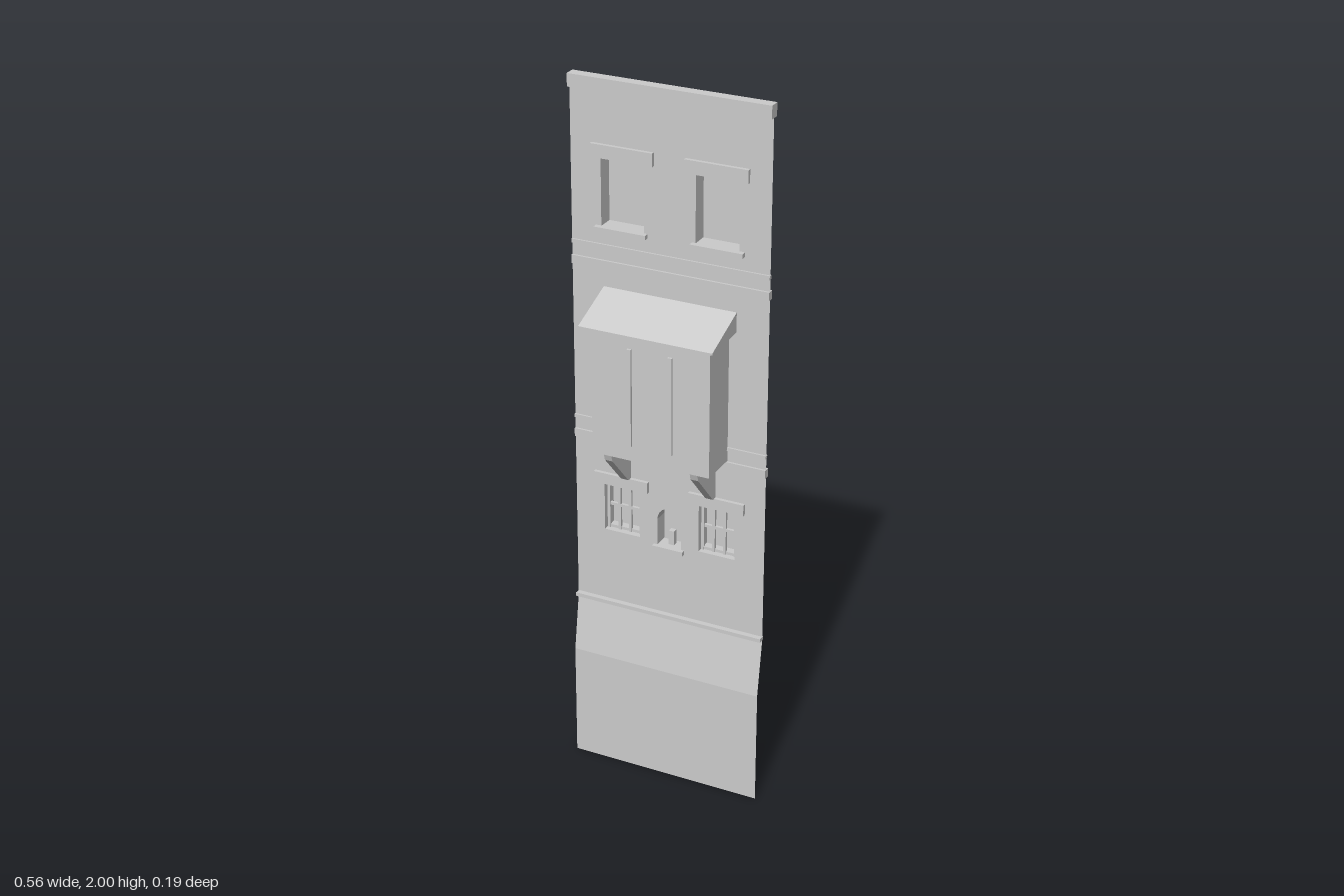
import * as THREE from 'three';

const WALL_Z = -0.046;
const HALF_W = 0.278;

export function createModel() {
  const group = new THREE.Group();
  const solid = new THREE.MeshStandardMaterial({ color: 0xcccccc, flatShading: true });
  const thin = new THREE.MeshStandardMaterial({ color: 0xcccccc, flatShading: true, side: THREE.DoubleSide });

  const add = (name, geometry, material = solid) => {
    const mesh = new THREE.Mesh(geometry, material);
    mesh.name = name;
    group.add(mesh);
    return mesh;
  };

  // Box given by its limits on each axis
  const block = (name, x0, x1, y0, y1, z0, z1) =>
    add(name, new THREE.BoxGeometry(x1 - x0, y1 - y0, z1 - z0))
      .position.set((x0 + x1) / 2, (y0 + y1) / 2, (z0 + z1) / 2);

  const rect = (x0, x1, y0, y1) => [[x0, y0], [x1, y0], [x1, y1], [x0, y1]].map(p => new THREE.Vector2(...p));

  // Open shell: side walls from the wall plane to depth z, closed by a cap there
  const shell = (name, outline, z) => {
    const pos = [];
    outline.forEach((a, i) => {
      const b = outline[(i + 1) % outline.length];
      pos.push(a.x, a.y, WALL_Z, b.x, b.y, WALL_Z, b.x, b.y, z);
      pos.push(a.x, a.y, WALL_Z, b.x, b.y, z, a.x, a.y, z);
    });
    const sides = new THREE.BufferGeometry();
    sides.setAttribute('position', new THREE.Float32BufferAttribute(pos, 3));
    sides.computeVertexNormals();
    add(name + 'Sides', sides, thin);
    add(name + 'Panel', new THREE.ShapeGeometry(new THREE.Shape(outline)), thin).position.z = z;
  };

  // Prism across x from a (z, y) profile
  const prism = (name, profile, x0, x1) => {
    const shape = new THREE.Shape(profile.map(([z, y]) => new THREE.Vector2(-z, y)));
    const geo = new THREE.ExtrudeGeometry(shape, { depth: x1 - x0, bevelEnabled: false });
    add(name, geo.rotateY(Math.PI / 2).translate(x0, 0, 0));
  };

  // Opening outlines
  const openings = [];
  const recess = (name, outline, z) => {
    openings.push(outline);
    shell(name, outline, z);
  };

  // Upper and lower windows, mirrored
  for (const s of [-1, 1]) {
    const span = (a, b) => (s > 0 ? [a, b] : [-b, -a]);

    recess('upperWindow', rect(...span(0.072, 0.193), 1.605, 1.79), -0.091);
    block('upperLintel', ...span(0.044, 0.218), 1.79, 1.826, -0.053, -0.036);
    block('upperSill', ...span(0.062, 0.208), 1.594, 1.606, -0.047, -0.031);

    recess('lowerWindow', rect(...span(0.087, 0.193), 0.725, 0.868), -0.098);
    block('lowerLintel', ...span(0.06, 0.22), 0.868, 0.9, -0.053, -0.036);

    // Lattice of bars in the lower window
    for (let i = 0; i < 4; i++) {
      const x = 0.092 + i * 0.032;
      block('windowBar', ...span(x - 0.004, x + 0.004), 0.725, 0.868, -0.068, -0.06);
    }
    for (const y of [0.73, 0.798, 0.863]) {
      block('windowCrossbar', ...span(0.087, 0.193), y - 0.004, y + 0.004, -0.07, -0.062);
    }

    // Bracket carrying the bay
    prism('bayBracket', [[0.066, 1.016], [0.06, 0.998], [-0.03, 0.9], [WALL_Z, 0.895], [WALL_Z, 1.016]],
      ...span(0.113, 0.135));

    // Thin band beside the bay
    block('sideBand', ...span(0.168, HALF_W), 1.046, 1.056, -0.051, -0.041);

    // Bay mullions
    block('bayMullion', ...span(0.052, 0.064), 1.06, 1.335, 0.06, 0.073);
  }

  // Arched niche with sill and small post
  const arch = [new THREE.Vector2(-0.035, 0.715), new THREE.Vector2(0.035, 0.715)];
  for (let i = 0; i <= 10; i++) {
    const a = (i / 10) * Math.PI;
    arch.push(new THREE.Vector2(0.035 * Math.cos(a), 0.793 + 0.038 * Math.sin(a)));
  }
  recess('niche', arch, -0.088);
  block('nicheSill', -0.045, 0.045, 0.704, 0.716, -0.052, -0.034);
  block('nichePost', -0.008, 0.008, 0.716, 0.758, -0.075, -0.06);

  // Projecting bay, open to the rear, with a sloped roof
  recess('bay', rect(-0.168, 0.168, 1.016, 1.385), 0.066);
  prism('bayRoof', [[0.097, 1.38], [0.097, 1.385], [-0.05, 1.441], [-0.05, 1.385]], -0.188, 0.188);

  // Horizontal mouldings across the facade
  const bands = [
    ['cornice', 1.965, 2, -0.063, -0.033],
    ['upperBandThin', 1.546, 1.557, -0.051, -0.041],
    ['upperBand', 1.49, 1.513, -0.058, -0.04],
    ['middleBand', 0.99, 1.014, -0.058, -0.04],
    ['baseBand', 0.499, 0.51, -0.05, -0.031],
  ];
  for (const [name, ...limits] of bands) block(name, -HALF_W, HALF_W, ...limits);

  // Wall sheet with its openings
  const wall = new THREE.Shape(rect(-HALF_W, HALF_W, 0.5, 1.98));
  wall.holes = openings.map(o => new THREE.Path(o));
  add('wall', new THREE.ShapeGeometry(wall), thin).position.z = WALL_Z;

  // Flared base sheet: slope, then vertical foot
  const base = new THREE.PlaneGeometry(HALF_W * 2, 1, 1, 2);
  [[0.5, WALL_Z], [0.335, -0.02], [0, -0.02]].forEach(([y, z], row) => {
    for (let i = 0; i < 2; i++) {
      base.attributes.position.setY(row * 2 + i, y);
      base.attributes.position.setZ(row * 2 + i, z);
    }
  });
  base.computeVertexNormals();
  add('flaredBase', base, thin);

  return group;
}
